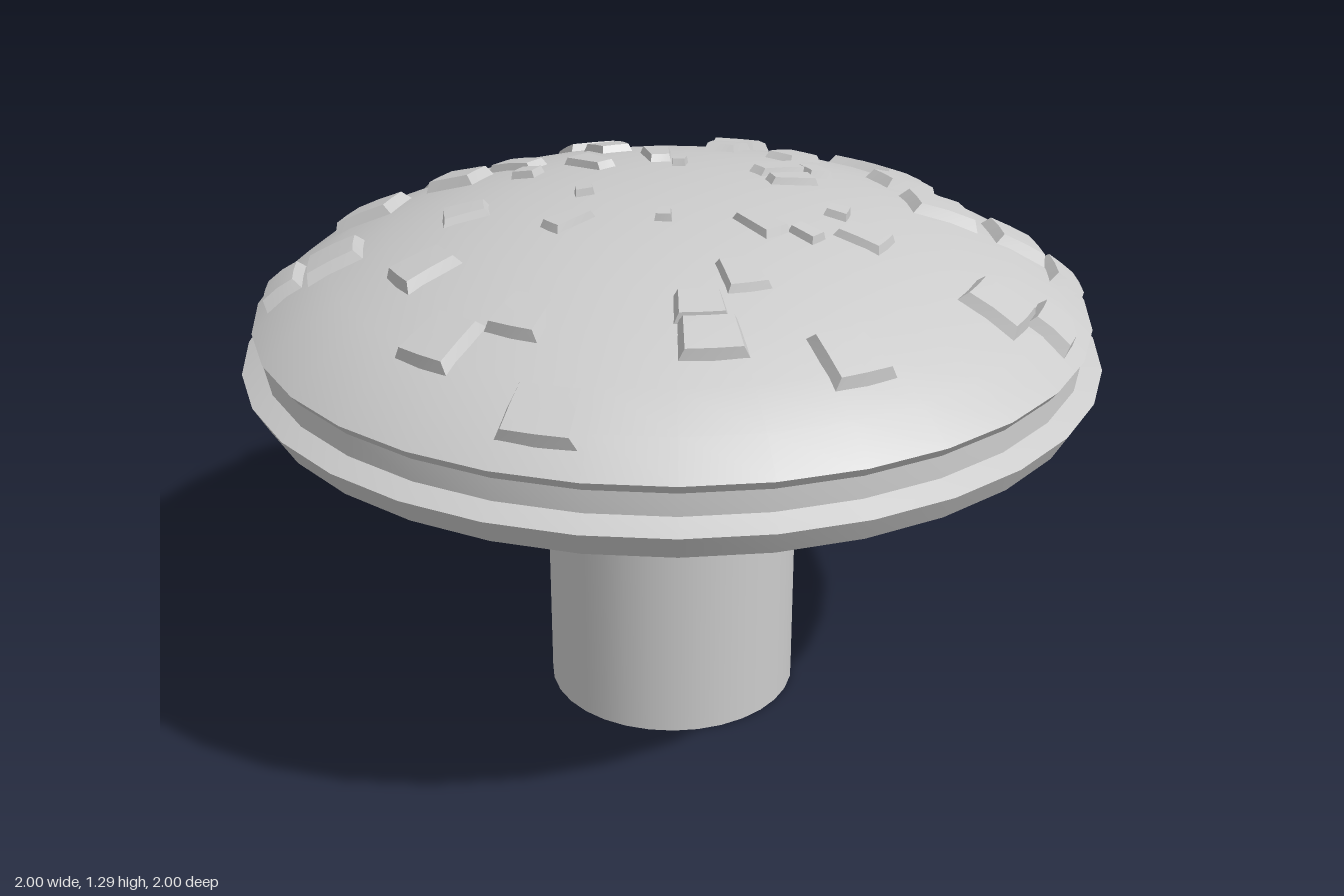
import * as THREE from 'three';
import { toCreasedNormals } from 'three/addons/utils/BufferGeometryUtils.js';

const SIDES = 32;
const material = new THREE.MeshStandardMaterial({ color: 0xcccccc });

// Dome outline as [radius, height], from rim to crown
const DOME = [[0.97, 0.995], [0.89, 1.062], [0.79, 1.118], [0.65, 1.177],
  [0.5, 1.222], [0.35, 1.252], [0.18, 1.27], [0, 1.274]];

// Height of the dome at a radius
function domeHeight(r) {
  for (let i = 1; i < DOME.length; i++) {
    const [r0, y0] = DOME[i - 1], [r1, y1] = DOME[i];
    if (r >= r1) return y0 + (y1 - y0) * (r - r0) / (r1 - r0);
  }
  return DOME[DOME.length - 1][1];
}

function addLathe(group, name, points) {
  const geometry = new THREE.LatheGeometry(points.map(([r, y]) => new THREE.Vector2(r, y)), SIDES);
  const mesh = new THREE.Mesh(toCreasedNormals(geometry, 0.4), material);
  mesh.name = name;
  group.add(mesh);
}

// A low bevelled patch bent over the dome: centre x, z, radial length, width
function makePatch([x, z, length, width]) {
  const geometry = new THREE.BoxGeometry(1, 1, 1, 2, 1, 2);
  const p = geometry.attributes.position;
  const radius = Math.hypot(x, z), angle = Math.atan2(x, z);
  const height = radius > 0.52 ? 0.024 : 0.017;
  for (let i = 0; i < p.count; i++) {
    const top = p.getY(i) > 0;
    const inset = top ? 0.74 : 1;
    const r = radius + p.getZ(i) * length * inset;
    const a = angle + p.getX(i) * width * inset / radius;
    const slope = (domeHeight(r - 0.04) - domeHeight(r + 0.04)) / 0.08;
    const lift = (top ? height : -0.015) / Math.hypot(1, slope);
    const outward = r + slope * lift;
    p.setXYZ(i, Math.sin(a) * outward, domeHeight(r) + lift, Math.cos(a) * outward);
  }
  return toCreasedNormals(geometry, 0.4);
}

const CROWN_PATCHES = [
  [-0.03, -0.29, 0.14, 0.07], [0.02, -0.2, 0.05, 0.04], [-0.15, -0.45, 0.14, 0.1],
  [0.14, -0.46, 0.14, 0.1], [0.3, -0.37, 0.13, 0.1], [-0.19, -0.23, 0.14, 0.07],
  [-0.34, -0.19, 0.07, 0.06], [-0.37, -0.32, 0.15, 0.08], [-0.47, 0.05, 0.12, 0.1],
  [-0.2, 0.02, 0.05, 0.04], [-0.23, 0.19, 0.13, 0.06], [-0.02, 0.19, 0.05, 0.04],
  [0.19, 0.22, 0.14, 0.07], [0.14, 0.45, 0.13, 0.1], [0.37, 0.11, 0.06, 0.06],
  [0.42, 0.22, 0.13, 0.1], [0.29, 0.25, 0.08, 0.05], [0.28, -0.09, 0.13, 0.06],
  [0.26, -0.18, 0.17, 0.07], [0.34, -0.19, 0.07, 0.08],
];

const SLOPE_PATCHES = [
  [-0.21, -0.73, 0.15, 0.16], [0.18, -0.62, 0.15, 0.14], [0.5, -0.61, 0.15, 0.14],
  [0.56, -0.54, 0.16, 0.14], [0.56, -0.28, 0.15, 0.12], [0.63, -0.1, 0.17, 0.16],
  [0.81, -0.09, 0.13, 0.17], [0.7, 0.36, 0.15, 0.16], [0.35, 0.67, 0.15, 0.15],
  [0.05, 0.57, 0.1, 0.12], [0.07, 0.66, 0.12, 0.15], [-0.31, 0.56, 0.13, 0.13],
  [-0.26, 0.82, 0.13, 0.18], [-0.48, 0.58, 0.15, 0.15], [-0.54, 0.3, 0.15, 0.12],
  [-0.77, 0.07, 0.14, 0.15], [-0.72, -0.24, 0.16, 0.15], [-0.51, -0.28, 0.14, 0.12],
  [-0.57, -0.69, 0.13, 0.17], [0, -0.87, 0.11, 0.16], [0.43, -0.81, 0.1, 0.16],
  [0.91, 0, 0.08, 0.17], [-0.89, 0.06, 0.09, 0.16], [0.83, 0.33, 0.1, 0.15],
];

export function createModel() {
  const group = new THREE.Group();

  // Stem
  const stem = new THREE.Mesh(new THREE.CylinderGeometry(0.304, 0.304, 0.83, SIDES), material);
  stem.name = 'stem';
  stem.position.y = 0.415;
  group.add(stem);

  // Cap: shallow underside, flared lower rim, grooved neck, then the dome
  addLathe(group, 'capRim', [[0, 0.815], [0.967, 0.84], [1, 0.898], [0.953, 0.922],
    [0.952, 0.972], [0.97, 0.995]]);
  addLathe(group, 'capDome', DOME);

  // Raised patches
  const patches = new THREE.Group();
  patches.name = 'capPatches';
  for (const spec of [...CROWN_PATCHES, ...SLOPE_PATCHES]) {
    const patch = new THREE.Mesh(makePatch(spec), material);
    patch.name = 'patch';
    patches.add(patch);
  }
  group.add(patches);
  return group;
}
